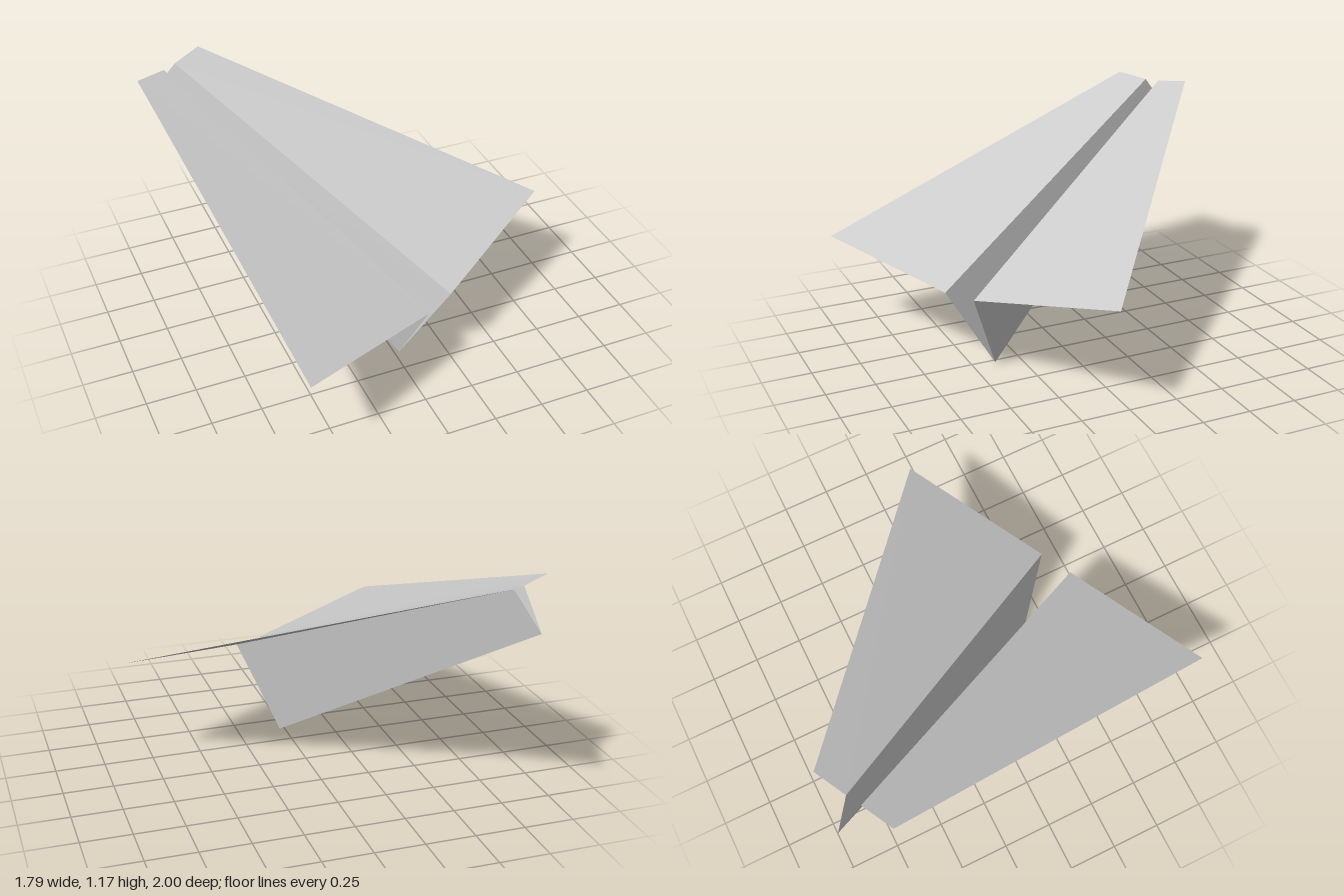
import * as THREE from 'three';

export function createModel() {
  const group = new THREE.Group();
  group.name = 'paperPlane';
  const paper = new THREE.MeshStandardMaterial({ color: 0xcccccc, flatShading: true, side: THREE.DoubleSide });
  paper.name = 'paper';

  // Folded sheet: the cross-section at each end, from right wing tip over the keel fold to left wing tip
  const nose = [[-0.896, 1.161, -0.778], [-0.738, 1.147, -0.86], [-0.765, 0.965, -1], [-0.669, 1.149, -0.9], [-0.518, 1.174, -0.984]];
  const tail = [[-0.677, 0.535, 0.997], [0.055, 0.442, 0.646], [0.025, 0, 0.383], [0.21, 0.446, 0.56], [0.893, 0.59, 0.132]];
  const names = ['rightWing', 'rightKeelSide', 'leftKeelSide', 'leftWing'];

  // One flat panel between each pair of neighbouring folds
  names.forEach((name, i) => {
    const corners = [nose[i], tail[i], tail[i + 1], nose[i + 1]];
    const geometry = new THREE.BufferGeometry();
    geometry.setAttribute('position', new THREE.Float32BufferAttribute(corners.flat(), 3));
    geometry.setIndex([0, 1, 2, 0, 2, 3]);
    geometry.computeVertexNormals();
    const panel = new THREE.Mesh(geometry, paper);
    panel.name = name;
    group.add(panel);
  });
  return group;
}
